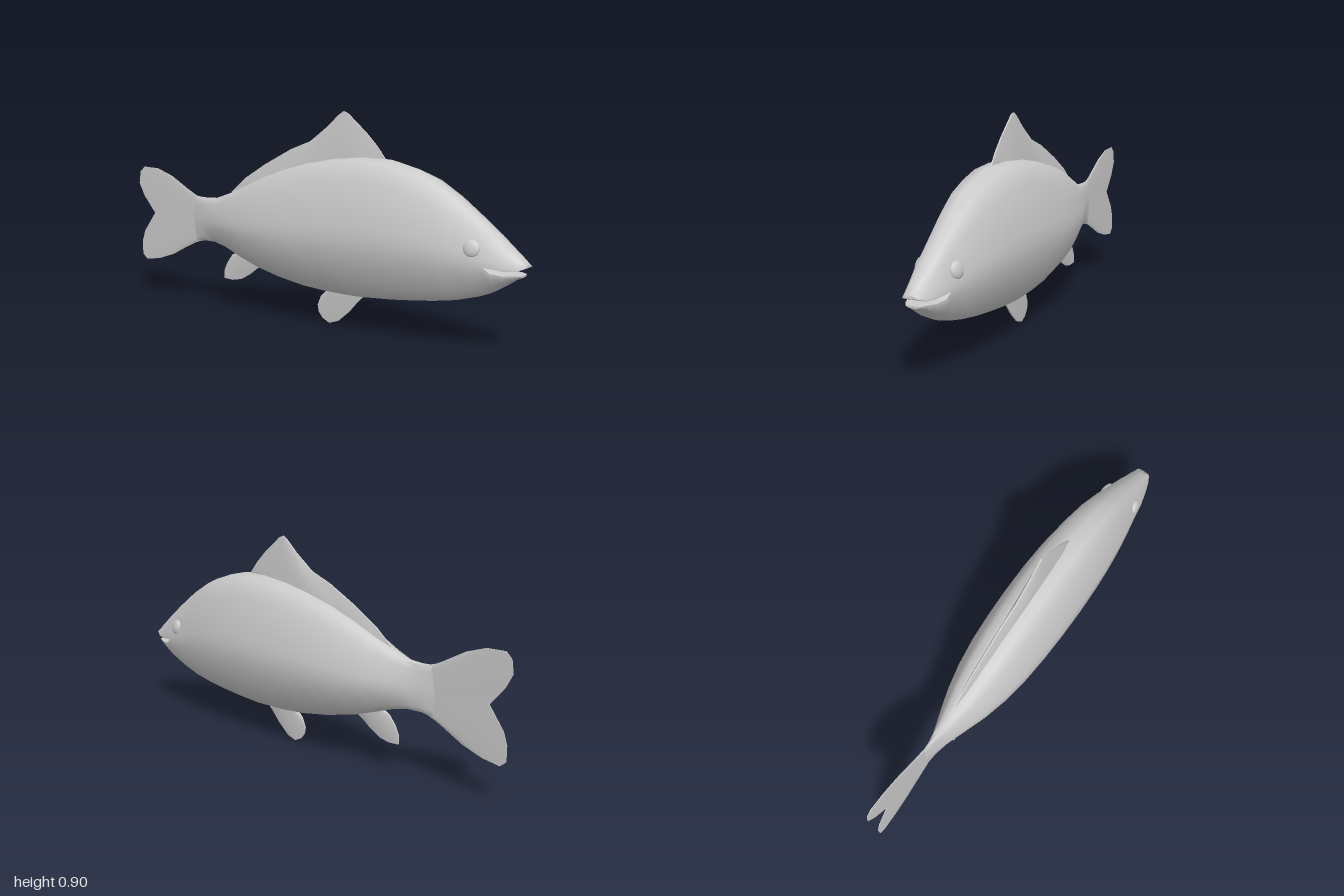
import * as THREE from 'three';
import { mergeVertices, toCreasedNormals } from 'three/addons/utils/BufferGeometryUtils.js';

const grey = new THREE.MeshStandardMaterial({ color: 0xcccccc, side: THREE.DoubleSide });

// Skin a row of equal rings; the rings are mirrored, so the ends close as strips.
function loft(rings, crease, skip = () => false, skipCap = () => false) {
  const n = rings[0].length;
  const index = [];
  const quad = (a, b, c, d) => index.push(a, b, c, a, c, d);
  for (let i = 0; i < rings.length - 1; i++) {
    for (let j = 0; j < n; j++) {
      if (skip(i, j)) continue;
      const k = (j + 1) % n;
      quad(i * n + j, i * n + k, (i + 1) * n + k, (i + 1) * n + j);
    }
  }
  const last = (rings.length - 1) * n;
  for (let j = 0; j < n / 2 - 1; j++) {
    if (skipCap(j)) continue;
    quad(j, n - 1 - j, n - 2 - j, j + 1);
    quad(last + j, last + j + 1, last + n - 2 - j, last + n - 1 - j);
  }
  let geo = new THREE.BufferGeometry();
  geo.setAttribute('position', new THREE.Float32BufferAttribute(rings.flat(2), 3));
  geo.setIndex(index);
  geo = mergeVertices(geo, 1e-5);
  return toCreasedNormals(geo, crease);
}

function part(name, geometry) {
  const mesh = new THREE.Mesh(geometry, grey);
  mesh.name = name;
  return mesh;
}

// Body stations: z, top, bottom, half width, upper lip, lower lip
const MOUTH_END = 0.85;
const stations = [
  [1.0, 0.36, 0.308, 0.03, 0.348, 0.317],
  [0.97, 0.386, 0.296, 0.046, 0.336, 0.318],
  [0.93, 0.418, 0.272, 0.06, 0.333, 0.316],
  [0.88, 0.46, 0.246, 0.074, 0.34, 0.322],
  [MOUTH_END, 0.483, 0.232, 0.08, 0.343, 0.343],
  [0.8, 0.522, 0.212, 0.088],
  [0.7, 0.595, 0.184, 0.108],
  [0.6, 0.655, 0.167, 0.125],
  [0.5, 0.69, 0.155, 0.137],
  [0.4, 0.714, 0.145, 0.145],
  [0.27, 0.721, 0.137, 0.15],
  [0.13, 0.708, 0.14, 0.15],
  [0, 0.682, 0.15, 0.146],
  [-0.13, 0.645, 0.172, 0.137],
  [-0.25, 0.6, 0.2, 0.12],
  [-0.36, 0.55, 0.236, 0.095],
  [-0.45, 0.511, 0.268, 0.066],
  [-0.52, 0.487, 0.284, 0.042],
  [-0.59, 0.484, 0.285, 0.02],
  [-0.66, 0.488, 0.272, 0.004],
];
// Half section as [width, height] fractions, from ridge to lip and lip to keel
const upper = [[0, 1], [0.4, 0.955], [0.65, 0.72], [1, 0.16], [1, 0]];
const lower = [[1, 0], [1, 0.2], [0.65, 0.756], [0.4, 0.944], [0, 1]];

function bodyRing([z, top, bottom, w, lipU, lipL]) {
  lipU ??= bottom + (top - bottom) * 0.45;
  lipL ??= lipU;
  const zl = z - Math.max(0, z - MOUTH_END) * 0.13; // lower jaw is shorter
  const half = [
    ...upper.map(([x, s]) => [x * w, lipU + (top - lipU) * s, z]),
    [0, lipU, z], // palate
    [0, lipL, zl], // mouth floor
    ...lower.map(([x, s]) => [x * w, lipL + (bottom - lipL) * s, zl]),
  ];
  return [...half, ...half.map(([x, y, d]) => [-x, y, d]).reverse()];
}

function makeBody() {
  // The mouth lining exists only ahead of the mouth corner, and its centre stays open
  const skip = (i, j) => {
    const k = Math.min(j, Math.abs(22 - j));
    return j < 23 && (k === 5 || ((k === 4 || k === 6) && stations[i][0] <= MOUTH_END));
  };
  return part('body', loft(stations.map(bodyRing), 1.0, skip, (j) => j === 5));
}

// Fin made of ribs running from a root curve to points on its outline, as [z, y]
function makeFin(name, root, outline, thick, edge) {
  const curve = new THREE.SplineCurve(root.map(([z, y]) => new THREE.Vector2(z, y)));
  const rings = outline.map(([tz, ty], i) => {
    const u = i / (outline.length - 1);
    const r = curve.getPoint(u);
    const w = thick * (0.25 + 0.75 * Math.sqrt(Math.max(0, Math.sin(Math.PI * u))));
    const half = [[1, edge], [0.5, Math.max(edge, w * 0.75)], [0, w]].map(([t, x]) => [
      x, r.y + (ty - r.y) * t, r.x + (tz - r.x) * t,
    ]);
    return [...half, ...half.map(([x, y, z]) => [-x, y, z]).reverse()];
  });
  return part(name, loft(rings, 0.9));
}

export function createModel() {
  const fish = new THREE.Group();
  fish.name = 'fish';
  fish.add(makeBody());

  fish.add(makeFin('dorsalFin',
    [[0.34, 0.69], [0, 0.66], [-0.41, 0.5]],
    [[0.37, 0.715], [0.33, 0.765], [0.28, 0.815], [0.19, 0.89], [0.168, 0.899], [0.145, 0.885],
      [0.09, 0.835], [0, 0.768], [-0.1, 0.73], [-0.24, 0.657], [-0.35, 0.59], [-0.43, 0.522]],
    0.022, 0.003));

  fish.add(makeFin('pelvicFin',
    [[0.11, 0.165], [0.18, 0.165], [0.25, 0.165]],
    [[0.09, 0.147], [0.057, 0.115], [0.04, 0.075], [0.045, 0.045], [0.065, 0.02], [0.1, 0.003],
      [0.145, 0.018], [0.2, 0.065], [0.24, 0.11], [0.275, 0.143]],
    0.013, 0.003));

  fish.add(makeFin('analFin',
    [[-0.37, 0.27], [-0.32, 0.25], [-0.26, 0.23]],
    [[-0.395, 0.255], [-0.43, 0.238], [-0.46, 0.198], [-0.478, 0.16], [-0.477, 0.125], [-0.43, 0.122],
      [-0.38, 0.132], [-0.33, 0.16], [-0.29, 0.19], [-0.25, 0.212]],
    0.012, 0.003));

  fish.add(makeFin('tailFin',
    [[-0.62, 0.484], [-0.62, 0.38], [-0.62, 0.28]],
    [[-0.65, 0.487], [-0.7, 0.517], [-0.79, 0.567], [-0.88, 0.597], [-0.965, 0.6], [-0.992, 0.575],
      [-1, 0.52], [-0.97, 0.463], [-0.903, 0.385], [-0.97, 0.295], [-0.987, 0.245], [-0.987, 0.18],
      [-0.96, 0.158], [-0.88, 0.17], [-0.79, 0.2], [-0.71, 0.242], [-0.65, 0.275]],
    0.006, 0.0015));

  // Eyes: flattened domes turned to follow the cheeks
  for (const side of [1, -1]) {
    const eye = part(side > 0 ? 'leftEye' : 'rightEye', new THREE.SphereGeometry(0.034, 20, 14));
    eye.scale.set(0.45, 1, 1);
    eye.position.set(side * 0.076, 0.41, 0.8);
    eye.rotation.set(0, -side * 0.2, side * 0.2);
    fish.add(eye);
  }
  return fish;
}
